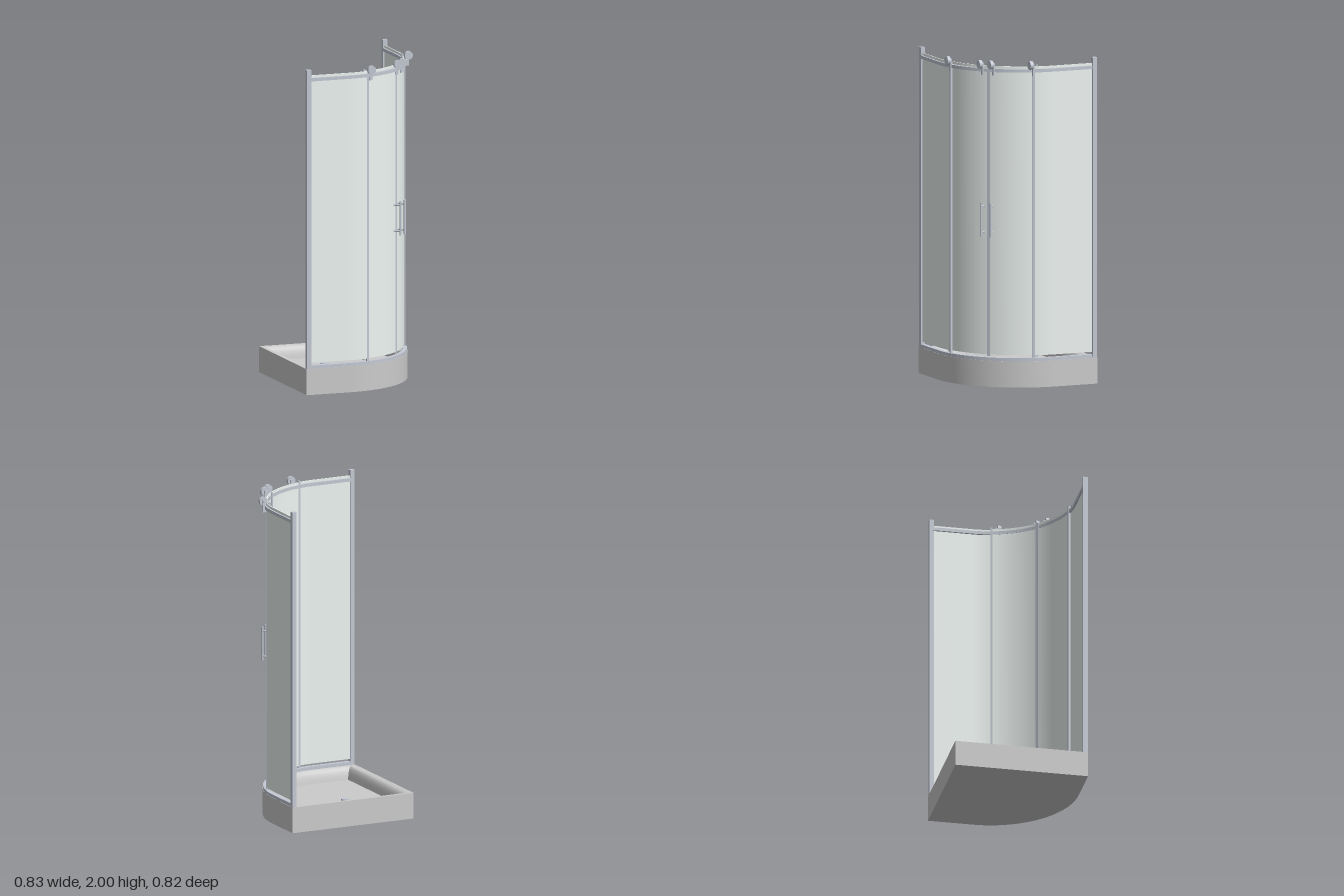
import * as THREE from 'three';
import { toCreasedNormals } from 'three/addons/utils/BufferGeometryUtils.js';

const C = -0.14;            // centre of the quarter round, same in x and z
const R = 0.545;            // outer radius of the quarter round
const BACK = -0.415;        // the two straight sides
const Q = Math.PI / 2;
const OVERLAP = 0.25, DOOR = 0.213; // angles of fixed panel edge and door edge

const grey = new THREE.MeshStandardMaterial({ color: 0xcccccc });
const metal = new THREE.MeshStandardMaterial({ color: 0xc4c9d4 });
const glass = new THREE.MeshStandardMaterial({ color: 0xeff6f3, side: THREE.DoubleSide });

const polar = (r, a) => [C + r * Math.cos(a), C + r * Math.sin(a)];

function add(parent, name, geometry, material, x = 0, y = 0, z = 0) {
  const mesh = new THREE.Mesh(geometry, material);
  mesh.name = name;
  mesh.position.set(x, y, z);
  parent.add(mesh);
  return mesh;
}

// Quadrant outline in x and z, moved inwards by inset
function outline(inset) {
  const b = BACK + inset, r = R - inset, pts = [[b, b], [C + r, b]];
  for (let i = 0; i <= 40; i++) pts.push(polar(r, i / 40 * Q));
  pts.push([b, C + r]);
  return pts;
}

// Tray skin: rings of the outline, closed by a point below and on the floor
function trayGeometry() {
  const profile = [[0, 0], [0, 0.16], [0.022, 0.16], [0.036, 0.155], [0.047, 0.143],
    [0.055, 0.125], [0.061, 0.103], [0.065, 0.08]];
  const rings = profile.map(([inset, y]) => outline(inset).map(([x, z]) => [x, y, z]));
  const n = rings[0].length;
  const point = y => Array.from({ length: n }, () => [-0.05, y, -0.05]);
  rings.unshift(point(0));
  rings.push(point(0.08));
  const pos = [];
  for (let k = 0; k < rings.length - 1; k++) {
    for (let i = 0; i < n; i++) {
      const j = (i + 1) % n, a = rings[k], b = rings[k + 1];
      if (k > 0) pos.push(...a[i], ...b[j], ...a[j]);
      if (k < rings.length - 2) pos.push(...a[i], ...b[i], ...b[j]);
    }
  }
  const g = new THREE.BufferGeometry();
  g.setAttribute('position', new THREE.Float32BufferAttribute(pos, 3));
  return toCreasedNormals(g, 0.6);
}

// Upright band following the quadrant; runs on straight at angles 0 and 90 degrees
function band(r0, r1, y0, y1, a0, a1) {
  const side = r => {
    const pts = [];
    if (a0 === 0) pts.push([C + r, -0.39]);
    for (let i = 0; i <= 32; i++) pts.push(polar(r, a0 + (a1 - a0) * i / 32));
    if (a1 === Q) pts.push([-0.39, C + r]);
    return pts.map(p => new THREE.Vector2(...p));
  };
  const shape = new THREE.Shape([...side(r1), ...side(r0).reverse()]);
  const g = new THREE.ExtrudeGeometry(shape, { depth: y1 - y0, bevelEnabled: false });
  g.rotateX(Q).translate(0, y1, 0);
  return toCreasedNormals(g, 0.5);
}

// Square upright strip at a polar position
function strip(parent, name, r, a, size, y0, y1) {
  const [x, z] = polar(r, a);
  const m = add(parent, name, new THREE.BoxGeometry(size, y1 - y0, size), metal, x, (y0 + y1) / 2, z);
  m.rotation.y = -a;
}

export function createModel() {
  const model = new THREE.Group();
  model.name = 'showerEnclosure';

  // Tray and drain
  add(model, 'tray', trayGeometry(), grey);
  add(model, 'drain', new THREE.CylinderGeometry(0.028, 0.028, 0.012, 32), metal, -0.108, 0.084, -0.108);

  // Frame: rails and wall posts
  add(model, 'bottomRail', band(0.515, 0.543, 0.16, 0.18, 0, Q), metal);
  add(model, 'topRail', band(0.515, 0.543, 1.93, 1.95, 0, Q), metal);
  for (const [x, z] of [[0.39, -0.399], [-0.399, 0.39]])
    add(model, 'wallPost', new THREE.BoxGeometry(0.028, 1.84, 0.028), metal, x, 1.08, z);

  // Fixed panels and sliding doors, mirrored about the diagonal
  for (const m of [false, true]) {
    const at = a => (m ? Q - a : a);
    const span = (a, b) => (m ? [Q - b, Q - a] : [a, b]);
    add(model, 'fixedPanel', band(0.526, 0.532, 0.195, 1.965, ...span(0, OVERLAP)), glass);
    strip(model, 'fixedPanelEdge', 0.528, at(OVERLAP), 0.013, 0.18, 1.965);

    const door = new THREE.Group();
    door.name = 'slidingDoor';
    model.add(door);
    add(door, 'doorPanel', band(0.516, 0.522, 0.195, 1.965, ...span(DOOR, Q / 2 - 0.004)), glass);
    strip(door, 'doorOuterEdge', 0.519, at(DOOR), 0.013, 0.185, 1.975);
    strip(door, 'doorMeetingEdge', 0.517, at(Q / 2 - 0.009), 0.011, 0.185, 1.965);

    // Handle: upright bar on two standoffs
    const a = at(0.73), [hx, hz] = polar(0.566, a);
    add(door, 'handleBar', new THREE.CylinderGeometry(0.007, 0.007, 0.21, 16), metal, hx, 1.025, hz);
    for (const y of [0.945, 1.105]) {
      const [sx, sz] = polar(0.542, a);
      const pin = add(door, 'handleStandoff', new THREE.CylinderGeometry(0.005, 0.005, 0.05, 12), metal, sx, y, sz);
      pin.rotation.set(0, -a, Q);
    }
  }

  // Rollers on hangers along the top rail
  for (const [x, z] of [[0.007, 0.4], [0.22, 0.283], [0.27, 0.232], [0.387, 0.02]]) {
    const roller = new THREE.Group();
    roller.name = 'roller';
    roller.position.set(x, 1.975, z);
    model.add(roller);
    add(roller, 'wheel', new THREE.CylinderGeometry(0.026, 0.026, 0.02, 32), metal).rotation.x = Q;
    add(roller, 'axle', new THREE.CylinderGeometry(0.01, 0.01, 0.014, 16), metal, 0, 0, -0.016).rotation.x = Q;
    add(roller, 'hanger', new THREE.BoxGeometry(0.02, 0.075, 0.008), metal, 0, -0.028, -0.017);
  }
  return model;
}
